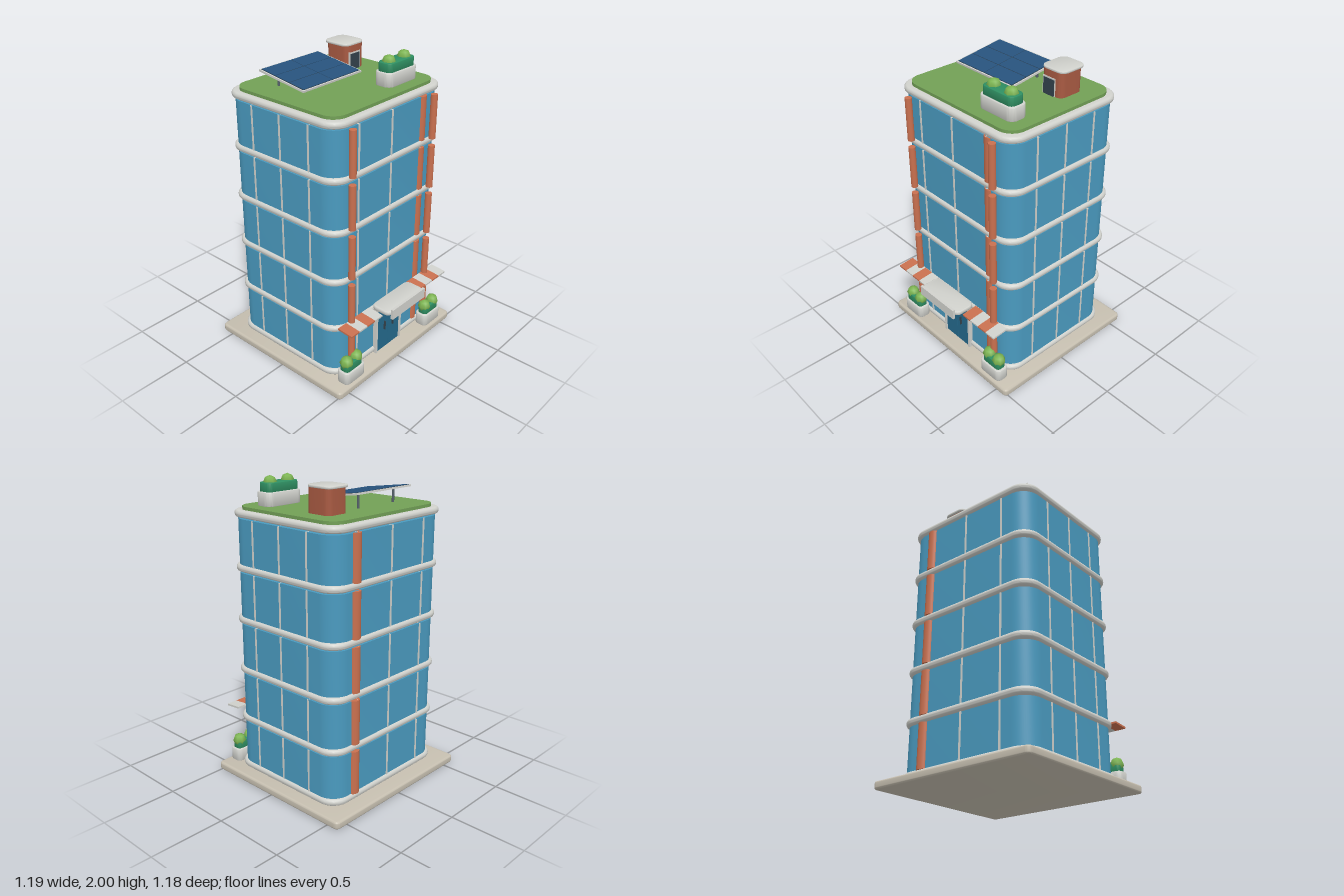
import * as THREE from 'three';
import { toCreasedNormals } from 'three/addons/utils/BufferGeometryUtils.js';

const mat = (color) => new THREE.MeshStandardMaterial({ color });
const M = {
  glass: mat(0x4a9abf), trim: mat(0xd0d1cc), brick: mat(0xc9704f), hut: mat(0xa85a42), paving: mat(0xc6bfb0),
  lawn: mat(0x72a056), hedge: mat(0x2f8f62), bush: mat(0x7db552), door: mat(0x24698c),
  panel: mat(0x27527c), dark: mat(0x33424c), leg: mat(0x55606a),
};

export function createModel() {
  const root = new THREE.Group();

  function add(name, geo, material, x, y, z, parent = root) {
    const mesh = new THREE.Mesh(geo, material);
    mesh.name = name;
    mesh.position.set(x, y, z);
    parent.add(mesh);
    return mesh;
  }
  const box = (name, w, h, d, m, x, y, z, parent) =>
    add(name, new THREE.BoxGeometry(w, h, d), m, x, y, z, parent);

  // Slab with rounded plan corners and an optional rounded rim; y is its underside
  function slab(name, w, h, d, r, bevel, m, x, y, z, parent) {
    const a = w / 2 - bevel, b = d / 2 - bevel, q = Math.max(r - bevel, 0.002);
    const s = new THREE.Shape();
    s.absarc(a - q, b - q, q, 0, Math.PI / 2);
    s.absarc(-a + q, b - q, q, Math.PI / 2, Math.PI);
    s.absarc(-a + q, -b + q, q, Math.PI, Math.PI * 1.5);
    s.absarc(a - q, -b + q, q, Math.PI * 1.5, Math.PI * 2);
    s.closePath();
    const geo = new THREE.ExtrudeGeometry(s, {
      depth: h - 2 * bevel, curveSegments: 8,
      bevelEnabled: bevel > 0, bevelThickness: bevel, bevelSize: bevel, bevelSegments: 4,
    });
    geo.rotateX(-Math.PI / 2).translate(0, bevel, 0);
    return add(name, toCreasedNormals(geo, 0.6), m, x, y, z, parent);
  }

  const cz = -0.035; // middle of the tower, set back from the front

  // Ground
  slab('groundSlab', 1.19, 0.05, 1.115, 0.03, 0.012, M.paving, 0, 0, -0.0325);

  // Five storeys: ledge, glass, mullions and columns
  slab('groundLedge', 1.03, 0.045, 0.91, 0.12, 0.02, M.trim, 0, 0.055, cz);
  for (let i = 0; i < 5; i++) {
    const y = 0.095 + i * 0.34, h = 0.292, mid = y + h / 2;
    const floor = new THREE.Group();
    floor.name = 'storey' + (i + 1);
    root.add(floor);
    slab('glassWall', 1.0, h, 0.88, 0.12, 0, M.glass, 0, y, cz, floor);
    slab('ledge', 1.03, 0.045, 0.91, 0.12, 0.02, M.trim, 0, y + 0.3, cz, floor);
    for (const x of [-0.3, 0, 0.3])
      box('mullion', 0.012, h, 0.89, M.trim, x, mid, cz, floor);
    for (const z of [0.2, -0.03, -0.26])
      box('sideMullion', 1.008, h, 0.012, M.trim, 0, mid, z, floor);
    for (const [x, z, r] of [[-0.383, 0.432, 0.0225], [0.38, 0.432, 0.0225], [0.31, 0.375, 0.042], [0.31, -0.454, 0.042]])
      add('column', new THREE.CylinderGeometry(r, r, h, 16), M.brick, x, mid, z, floor);
  }

  // Roof lawn
  slab('roofLawn', 0.95, 0.025, 0.83, 0.1, 0, M.lawn, 0, 1.795, cz);

  // Entrance: frame, two leaves, handles, canopy and blank sign
  const entrance = new THREE.Group();
  entrance.name = 'entrance';
  root.add(entrance);
  for (const s of [-1, 1]) {
    box('doorPost', 0.014, 0.39, 0.04, M.trim, s * 0.124, 0.245, 0.415, entrance);
    box('doorLeaf', 0.114, 0.385, 0.03, M.door, s * 0.0585, 0.243, 0.411, entrance);
    box('doorHandle', 0.007, 0.065, 0.012, M.dark, s * 0.042, 0.235, 0.432, entrance);
  }
  box('doorHead', 0.262, 0.014, 0.04, M.trim, 0, 0.435, 0.415, entrance);
  slab('canopy', 0.375, 0.03, 0.148, 0.04, 0.008, M.trim, 0, 0.447, 0.502, entrance);
  box('signBoard', 0.338, 0.07, 0.018, M.trim, 0, 0.462, 0.584, entrance);

  // Striped awnings on both sides of the entrance
  for (const start of [-0.495, 0.192]) {
    const awning = new THREE.Group();
    awning.name = 'awning';
    awning.position.set(start, 0.447, 0.475);
    awning.rotation.x = 0.08;
    root.add(awning);
    for (let i = 0; i < 4; i++)
      box('stripe', 0.0745, 0.012, 0.112, i % 2 ? M.trim : M.brick, 0.037 + i * 0.0745, 0, 0, awning);
  }

  // Planters with a hedge and two bushes
  function planter(w, d, bushGap, x, y, z) {
    const g = new THREE.Group();
    g.name = 'planter';
    g.position.set(x, y, z);
    root.add(g);
    slab('planterBox', w, 0.088, d, d * 0.35, 0.006, M.trim, 0, 0, 0, g);
    slab('hedge', w - 0.032, 0.062, d - 0.025, d * 0.25, 0.006, M.hedge, 0, 0.082, 0, g);
    for (const s of [-1, 1])
      add('bush', new THREE.SphereGeometry(0.045, 7, 4), M.bush, s * bushGap, 0.14, 0, g);
  }
  planter(0.185, 0.095, 0.045, -0.416, 0.052, 0.46);
  planter(0.185, 0.095, 0.045, 0.413, 0.052, 0.46);
  planter(0.285, 0.13, 0.073, 0.247, 1.818, 0.232);

  // Rooftop stair hut
  const hut = new THREE.Group();
  hut.name = 'stairHut';
  root.add(hut);
  slab('hutWalls', 0.165, 0.157, 0.185, 0.04, 0, M.hut, 0.278, 1.818, -0.21, hut);
  slab('hutCap', 0.185, 0.015, 0.2, 0.05, 0.004, M.trim, 0.278, 1.972, -0.218, hut);
  box('hutDoorFrame', 0.1, 0.115, 0.01, M.trim, 0.265, 1.875, -0.119, hut);
  box('hutDoor', 0.086, 0.105, 0.012, M.dark, 0.265, 1.871, -0.117, hut);

  // Tilted solar array on short legs
  const solar = new THREE.Group();
  solar.name = 'solarArray';
  solar.position.set(-0.125, 1.896, -0.128);
  solar.rotation.x = 0.14;
  root.add(solar);
  box('solarFrame', 0.51, 0.012, 0.368, M.trim, 0, 0, 0, solar);
  box('solarBacking', 0.492, 0.013, 0.35, M.dark, 0, 0.001, 0, solar);
  for (let i = 0; i < 2; i++)
    for (let j = 0; j < 3; j++)
      box('solarCell', 0.24, 0.004, 0.112, M.panel, (i - 0.5) * 0.245, 0.008, (j - 1) * 0.117, solar);
  for (const x of [-0.29, 0.04])
    add('solarLeg', new THREE.CylinderGeometry(0.008, 0.008, 0.09, 10), M.leg, x, 1.862, -0.24);

  return root;
}
